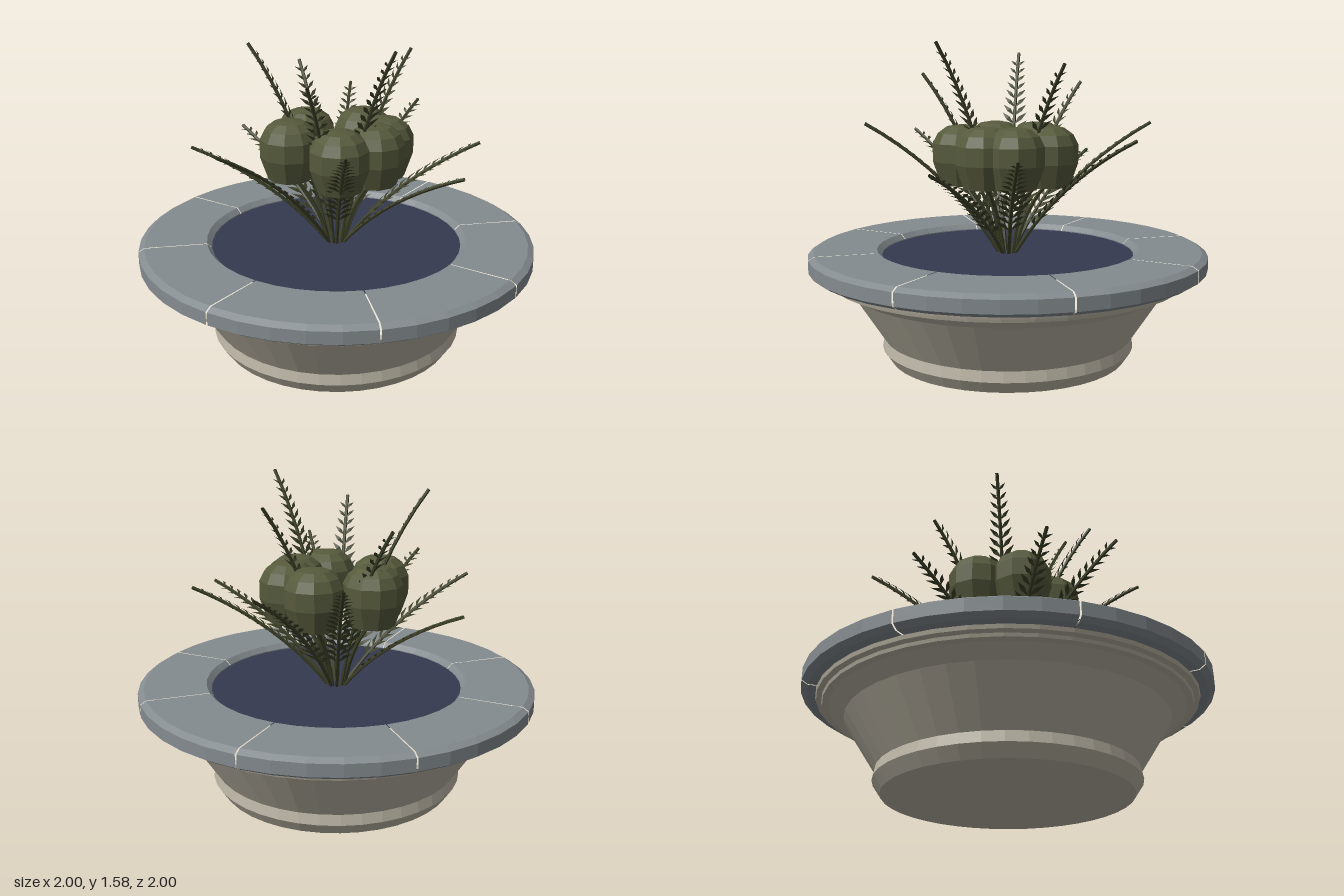
import * as THREE from 'three';

const mat = (name, color, extra = {}) =>
  Object.assign(new THREE.MeshStandardMaterial({ color, flatShading: true, ...extra }), { name });

const stone = mat('warm stone', 0xb9b3a3);
const slate = mat('grey rim stone', 0x848b8f);
const soil = mat('dark blue fill', 0x35394f);
const bloom = mat('olive bloom', 0x565a3c);
const leaf = mat('dark leaf green', 0x3e4129, { side: THREE.DoubleSide });

const BASE_Y = 0.52;
const pts = list => list.map(([r, y]) => new THREE.Vector2(r, y));

function add(parent, name, geometry, material) {
  const mesh = new THREE.Mesh(geometry, material);
  mesh.name = name;
  parent.add(mesh);
  return mesh;
}

// Arc from the planter's middle out to a tip, leaning further out as it rises
function stemCurve(tip) {
  const r = Math.hypot(tip.x, tip.z);
  const at = (radius, y) => new THREE.Vector3(tip.x / r * radius, y, tip.z / r * radius);
  return new THREE.QuadraticBezierCurve3(
    at(0.04, BASE_Y), at(r * 0.41, BASE_Y + (tip.y - BASE_Y) * 0.64), tip);
}

// Pairs of pointed leaves along a stem, spread sideways and swept to the tip
function leafGeometry(curve) {
  const pos = [];
  const length = curve.getLength();
  const count = Math.round(length / 0.065);
  const up = new THREE.Vector3(0, 1, 0);
  for (let i = 0; i < count; i++) {
    const t = 0.22 + 0.7 * i / (count - 1);
    const p = curve.getPointAt(t);
    const tan = curve.getTangentAt(t);
    const side = new THREE.Vector3().crossVectors(tan, up).normalize();
    const normal = new THREE.Vector3().crossVectors(side, tan);
    const size = 0.1 * (1 - 0.5 * Math.max(0, (t - 0.55) / 0.4));
    for (const s of [-1, 1]) {
      const dir = tan.clone().multiplyScalar(0.72).addScaledVector(side, 0.69 * s);
      const across = new THREE.Vector3().crossVectors(dir, normal).normalize();
      const mid = p.clone().addScaledVector(dir, size * 0.5).addScaledVector(normal, 0.008);
      const a = mid.clone().addScaledVector(across, size * 0.13);
      const b = mid.clone().addScaledVector(across, -size * 0.13);
      const end = p.clone().addScaledVector(dir, size);
      for (const v of [p, a, b, b, a, end]) pos.push(v.x, v.y, v.z);
    }
  }
  const g = new THREE.BufferGeometry();
  g.setAttribute('position', new THREE.Float32BufferAttribute(pos, 3));
  g.computeVertexNormals();
  return g;
}

export function createModel() {
  const model = new THREE.Group();
  model.name = 'planter';

  // Bowl with foot band, flared wall and stepped lip
  add(model, 'bowl', new THREE.LatheGeometry(pts([
    [0, 0], [0.6, 0], [0.64, 0.06], [0.63, 0.112], [0.79, 0.36], [0.865, 0.41],
    [0.895, 0.415], [0.9, 0.43], [0.925, 0.437], [0.93, 0.455], [0.9, 0.46],
  ]), 40), stone);

  // Rim of eight bevelled slabs with thin joints
  const rim = new THREE.Group();
  rim.name = 'rim';
  model.add(rim);
  const gap = 0.008;
  const slab = new THREE.LatheGeometry(pts([
    [0.63, 0.46], [0.97, 0.46], [1, 0.48], [1, 0.542], [0.97, 0.56],
    [0.66, 0.56], [0.635, 0.535], [0.63, 0.46],
  ]), 5, gap / 2, Math.PI / 4 - gap);
  for (let i = 0; i < 8; i++) add(rim, 'rimSlab', slab, slate).rotation.y = i * Math.PI / 4;

  // Fill inside the rim
  const fill = add(model, 'soil', new THREE.CircleGeometry(0.637, 40), soil);
  fill.rotation.x = -Math.PI / 2;
  fill.position.y = 0.53;

  // Round blooms on thin stalks
  const bloomGeometry = new THREE.LatheGeometry(pts([
    [0, -0.15], [0.108, -0.147], [0.148, -0.03], [0.148, 0.06],
    [0.122, 0.11], [0.078, 0.142], [0.03, 0.15], [0, 0.15],
  ]), 10);
  const blooms = [[-0.22, -0.05], [0.01, -0.23], [0.19, -0.14], [0.225, 0], [0.14, 0.18], [-0.165, 0.165]];
  blooms.forEach(([x, z], i) => {
    const head = add(model, 'bloom', bloomGeometry, bloom);
    head.position.set(x, 1.03, z);
    head.rotation.y = i * 1.1;
    const curve = stemCurve(new THREE.Vector3(x, 0.9, z));
    add(model, 'bloomStalk', new THREE.TubeGeometry(curve, 6, 0.01, 5), leaf);
  });

  // Fronds given by their tips: eight low outer ones, five tall inner ones
  const tips = [
    [0.06, 1.13, -0.71], [-0.33, 1.19, -0.63], [-0.7, 1, -0.12], [-0.525, 1.06, 0.48],
    [-0.18, 1.12, 0.68], [0.43, 1.19, 0.56], [0.71, 1, 0], [0.6, 1.06, -0.38],
    [0.42, 1.58, 0.15], [0.13, 1.43, 0.42], [-0.415, 1.53, 0.16], [-0.385, 1.385, -0.22],
    [0.185, 1.48, -0.4],
  ];
  for (const tip of tips) {
    const frond = new THREE.Group();
    frond.name = 'frond';
    model.add(frond);
    const curve = stemCurve(new THREE.Vector3(...tip));
    add(frond, 'frondStem', new THREE.TubeGeometry(curve, 10, 0.009, 5), leaf);
    add(frond, 'frondLeaves', leafGeometry(curve), leaf);
  }
  return model;
}
